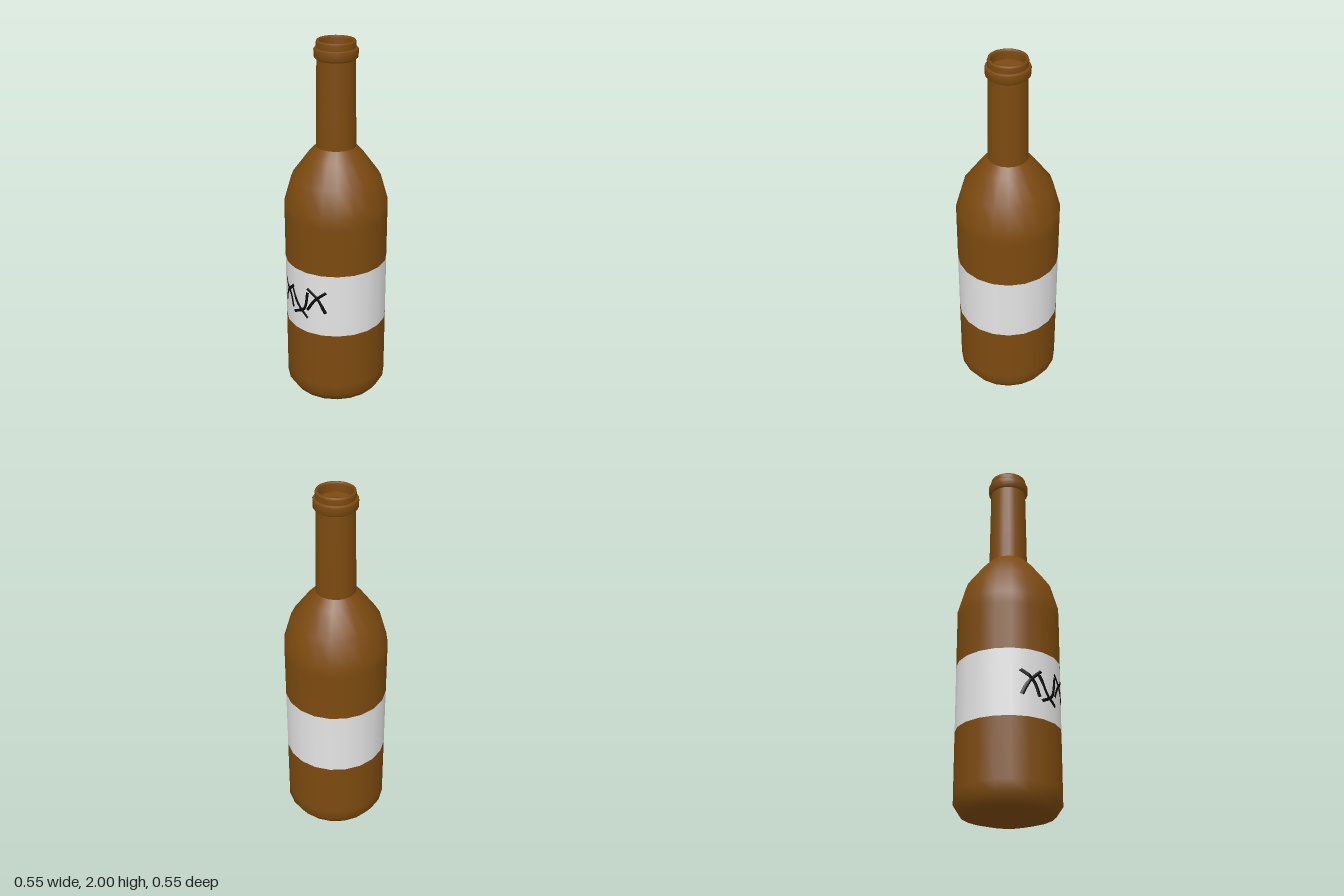
import * as THREE from 'three';

const SIDES = 20, R = 0.275, STEP = (Math.PI * 2) / SIDES;

const mat = (name, color) => {
  const m = new THREE.MeshStandardMaterial({ color });
  m.name = name;
  return m;
};

// Depth of the faceted front wall at a given x
function wallZ(x) {
  const i = Math.floor(Math.asin(x / R) / STEP);
  const a = i * STEP, b = a + STEP;
  const t = (x / R - Math.sin(a)) / (Math.sin(b) - Math.sin(a));
  return R * THREE.MathUtils.lerp(Math.cos(a), Math.cos(b), t);
}

export function createModel() {
  const group = new THREE.Group();
  const glass = mat('brown glass', 0x7c4a0f);
  const paper = mat('label paper', 0xe4e4e4);
  const ink = mat('black ink', 0x080808);

  const add = (name, geometry, material) => {
    const mesh = new THREE.Mesh(geometry, material);
    mesh.name = name;
    group.add(mesh);
  };
  const turned = (name, points, material) => add(name,
    new THREE.LatheGeometry(points.map(([r, y]) => new THREE.Vector2(r, y)), SIDES), material);

  // Base with a hollow underside, and the lower wall
  turned('base', [[0, 0.045], [0.06, 0.035], [0.11, 0.006], [0.14, 0], [0.24, 0.028], [R, 0.08], [R, 0.14]], glass);
  turned('lowerBody', [[R, 0.14], [R, 0.46]], glass);
  turned('label', [[R, 0.46], [R, 0.82]], paper);
  turned('upperBody', [[R, 0.82], [R, 1.08]], glass);

  // Shoulder, neck, collar and mouth
  turned('shoulder', [[R, 1.08], [R, 1.145], [0.235, 1.285], [0.147, 1.405], [0.105, 1.45]], glass);
  turned('neck', [[0.105, 1.45], [0.103, 1.6], [0.098, 1.92]], glass);
  turned('collar', [[0.098, 1.905], [0.112, 1.917], [0.113, 1.955], [0.108, 1.963], [0.1, 1.963]], glass);
  turned('lip', [[0.1, 1.96], [0.101, 1.99], [0.098, 2], [0.088, 2], [0.085, 1.99], [0.085, 1.95]], glass);
  turned('mouthFloor', [[0.085, 1.95], [0, 1.95]], glass);

  // Six hand-drawn strokes forming three crosses: start, bow point, end
  const strokes = [
    [-0.193, 0.706, -0.135, 0.65, -0.105, 0.574],
    [-0.188, 0.574, -0.16, 0.645, -0.098, 0.712],
    [-0.108, 0.69, -0.06, 0.605, 0.005, 0.55],
    [-0.095, 0.555, -0.02, 0.6, 0.005, 0.706],
    [0.003, 0.728, 0.065, 0.675, 0.105, 0.598],
    [0.003, 0.6, 0.045, 0.665, 0.108, 0.723],
  ];
  for (const [x0, y0, x1, y1, x2, y2] of strokes) {
    const path = new THREE.CatmullRomCurve3([
      new THREE.Vector3(x0, y0, 0), new THREE.Vector3(x1, y1, 0), new THREE.Vector3(x2, y2, 0)]);
    const geo = new THREE.TubeGeometry(path, 24, 0.009, 6);
    // Flatten each stroke onto the label
    const p = geo.attributes.position;
    for (let i = 0; i < p.count; i++) {
      p.setZ(i, wallZ(p.getX(i)) + 0.001 + p.getZ(i) * 0.3);
    }
    geo.computeVertexNormals();
    add('labelStroke', geo, ink);
  }
  return group;
}
